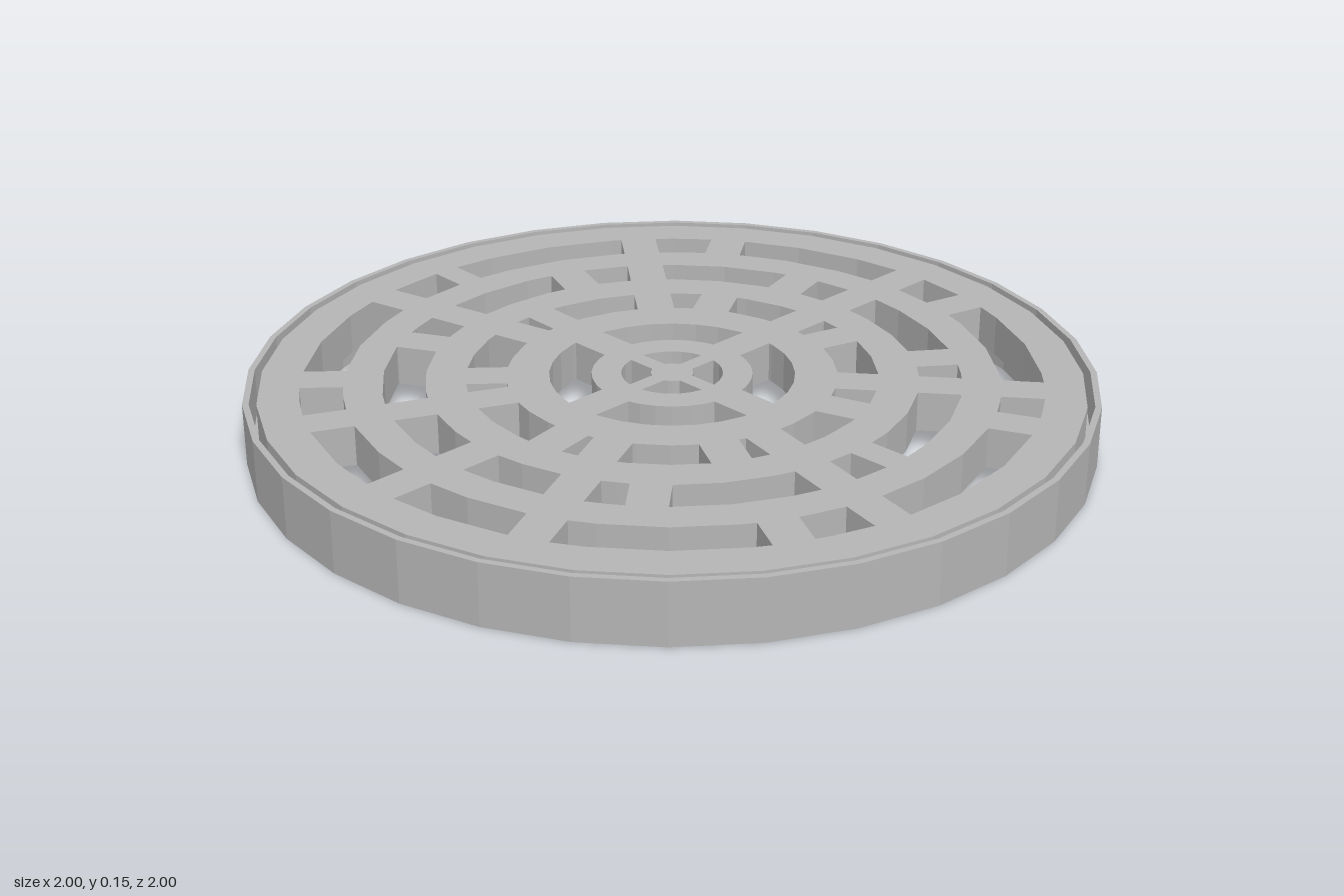
import * as THREE from 'three';

const STEP = Math.PI / 16; // 32-sided circles
const rad = THREE.MathUtils.degToRad;

function polar(r, a) {
  return new THREE.Vector2(r * Math.cos(a), r * Math.sin(a));
}

// Points along a faceted arc, including its exact ends
function arc(r, a0, a1) {
  const pts = [polar(r, a0)];
  for (let k = Math.floor(a0 / STEP) + 1; k * STEP < a1 - 0.01; k++) {
    if (k * STEP > a0 + 0.01) pts.push(polar(r, k * STEP));
  }
  pts.push(polar(r, a1));
  return pts;
}

// Slots of one ring, left open between parallel-sided spokes [angle, half width]
function ringSlots(inner, outer, spokes) {
  return spokes.map(([a, w], i) => {
    const [b, v] = spokes[(i + 1) % spokes.length];
    const start = rad(a);
    const end = rad(b <= a ? b + 360 : b);
    const edge = (r) => arc(r, start + Math.asin(w / r), end - Math.asin(v / r));
    return new THREE.Path([...edge(outer), ...edge(inner).reverse()]);
  });
}

export function createModel() {
  const iron = new THREE.MeshStandardMaterial({ color: 0xb5b5b5, flatShading: true });
  iron.name = 'castIron';
  const group = new THREE.Group();
  group.name = 'drainCover';

  // Seat ring: thin outer wall with an inward ledge at the bottom
  const profile = [
    [0.9, 0], [1, 0], [1, 0.15], [0.985, 0.15], [0.985, 0.05], [0.9, 0.05], [0.9, 0],
  ].map(([x, y]) => new THREE.Vector2(x, y));
  const frame = new THREE.Mesh(new THREE.LatheGeometry(profile, 32), iron);
  frame.name = 'frame';
  group.add(frame);

  // Grate: seven main spokes, plus staggered ribs that differ from ring to ring
  const W = 0.046;
  const main = [0, 1, 2, 3, 4, 5, 6].map((i) => [(i * 360) / 7, W]);
  const withRibs = (ribs) =>
    [...main, ...ribs.map(([a, w = W]) => [a, w])].sort((p, q) => p[0] - q[0]);
  const cross = (w) => [0, 90, 180, 270].map((a) => [a, w]);

  const rings = [
    [0.05, 0.12, cross(0.02)],
    [0.19, 0.29, cross(0.045)],
    [0.39, 0.485, withRibs([[31], [88, 0.04], [138], [190], [241], [289], [343]])],
    [0.58, 0.68, withRibs([[15.7], [69], [119], [180], [221], [271.5, 0.036], [323]])],
    [0.77, 0.87, withRibs([[35.4], [88, 0.034], [138.3], [180], [242], [295.6], [345.4]])],
  ];
  const shape = new THREE.Shape(arc(0.968, 0, Math.PI * 2 - STEP));
  for (const [inner, outer, spokes] of rings) {
    shape.holes.push(...ringSlots(inner, outer, spokes));
  }
  const plate = new THREE.ExtrudeGeometry(shape, { depth: 0.097, bevelEnabled: false });
  plate.rotateX(-Math.PI / 2);
  const grate = new THREE.Mesh(plate, iron);
  grate.name = 'grate';
  grate.position.y = 0.05;
  group.add(grate);

  return group;
}
